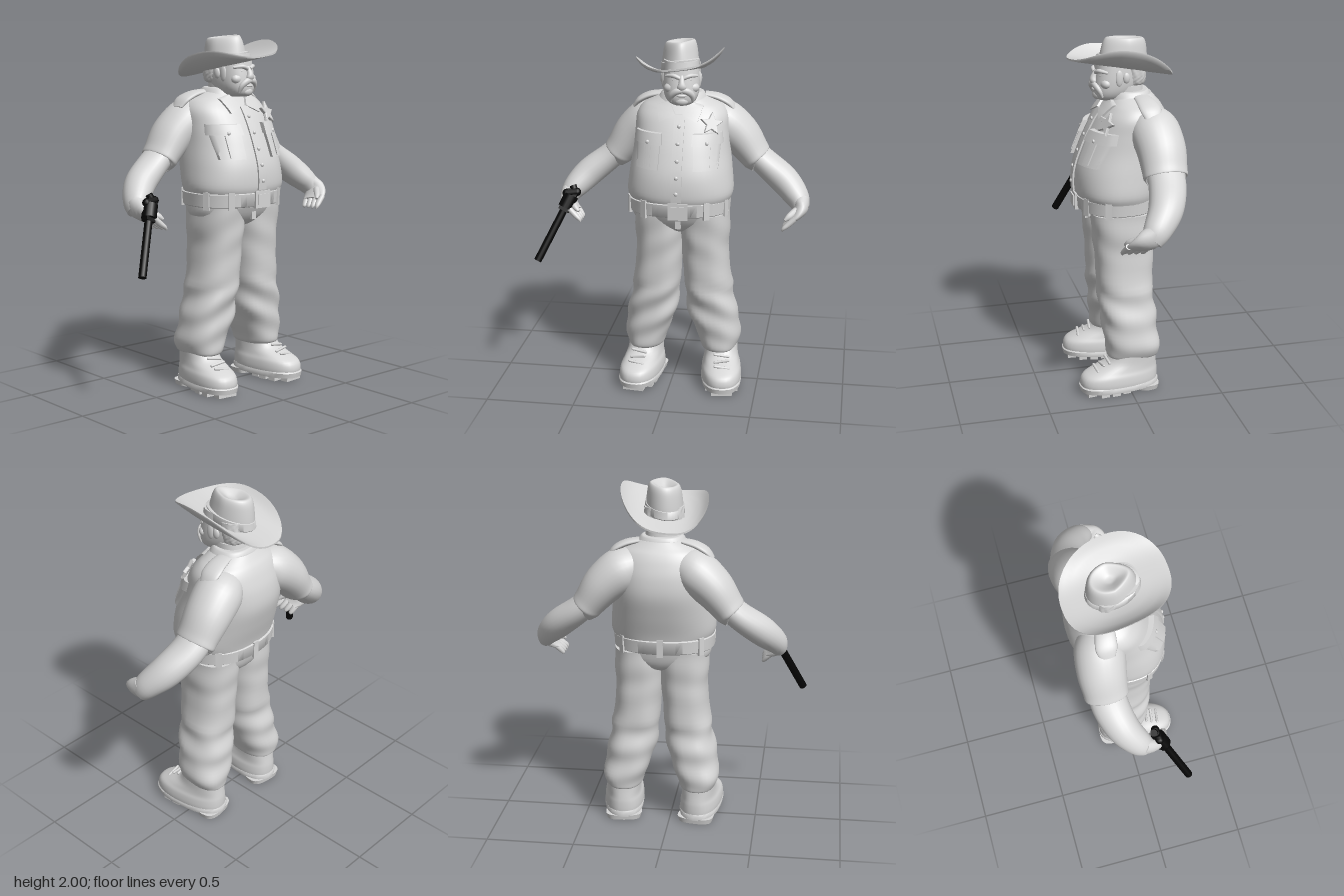
import * as THREE from 'three';
import { toCreasedNormals } from 'three/addons/utils/BufferGeometryUtils.js';

const CX = 0.045; // body centre line
const V = (x, y, z) => new THREE.Vector3(x, y, z);

// Smoothly fills in rows between the given ones
function dense(rows, k) {
  const out = [], n = rows.length, at = i => rows[Math.min(n - 1, Math.max(0, i))];
  for (let i = 0; i < n - 1; i++) for (let j = 0; j < k; j++) {
    const t = j / k, [a, b, c, d] = [at(i - 1), at(i), at(i + 1), at(i + 2)];
    out.push(b.map((p, q) => p + 0.5 * t * (c[q] - a[q]
      + t * (2 * a[q] - 5 * p + 4 * c[q] - d[q] + t * (3 * (p - c[q]) + d[q] - a[q])))));
  }
  out.push(rows[n - 1]);
  return out;
}

// Closed skin over equal rings of points, with end caps
function skin(rings, crease) {
  const m = rings[0].length, pts = rings.flat(), idx = [];
  for (let i = 0; i < rings.length - 1; i++) for (let j = 0; j < m; j++) {
    const a = i * m + j, b = i * m + (j + 1) % m;
    idx.push(a, b, b + m, a, b + m, a + m);
  }
  [[rings[0], true], [rings[rings.length - 1], false]].forEach(([ring, flip]) => {
    const s = pts.length, mid = V(0, 0, 0);
    ring.forEach(p => mid.addScaledVector(p, 1 / m));
    pts.push(...ring.map(p => p.clone()), mid);
    for (let j = 0; j < m; j++) {
      const a = s + j, b = s + (j + 1) % m;
      idx.push(...(flip ? [b, a, s + m] : [a, b, s + m]));
    }
  });
  const g = new THREE.BufferGeometry().setFromPoints(pts);
  g.setIndex(idx);
  g.computeVertexNormals();
  return crease ? toCreasedNormals(g, crease) : g;
}

const sgnPow = (v, e) => Math.sign(v) * Math.abs(v) ** e;

// Upright form; rows are [y, zFront, zBack, halfWidth, centreX]
function loft(rows, { k = 4, n = 2.3, s = 1, seg = 36, crease = 0, bump = () => 0 } = {}) {
  return skin(dense(rows, k).map(([y, zf, zb, rx, cx = 0]) => Array.from({ length: seg }, (_, j) => {
    const a = j / seg * Math.PI * 2, f = 1 + bump(a * s, y);
    return V(s * cx + f * rx * sgnPow(Math.sin(a), 2 / n), y,
      (zf + zb) / 2 + f * (zf - zb) / 2 * sgnPow(Math.cos(a), 2 / n));
  })), crease);
}

// Form along a path; rows are [x, y, z, radius towards z, radius across]
function limb(rows, s = 1, k = 4, seg = 18) {
  const d = dense(rows, k).map(r => [r[0] * s, ...r.slice(1)]);
  return skin(d.map((r, i) => {
    const p = d[Math.max(0, i - 1)], q = d[Math.min(d.length - 1, i + 1)];
    const T = V(q[0] - p[0], q[1] - p[1], q[2] - p[2]).normalize();
    const U = V(0, 0, 1).addScaledVector(T, -T.z).normalize(), W = T.clone().cross(U);
    return Array.from({ length: seg }, (_, j) => {
      const a = j / seg * Math.PI * 2;
      return V(r[0], r[1], r[2]).addScaledVector(U, r[3] * Math.cos(a)).addScaledVector(W, r[4] * Math.sin(a));
    });
  }));
}

const TORSO = [[1.05, .23, -.19, .27], [1.11, .245, -.205, .28], [1.17, .262, -.22, .298], [1.28, .255, -.255, .288],
  [1.40, .215, -.285, .272], [1.50, .17, -.28, .265], [1.58, .125, -.255, .258], [1.63, .085, -.23, .228],
  [1.66, .06, -.205, .18], [1.69, .04, -.18, .12]];
const torsoRows = dense(TORSO, 8);

// Depth of the shirt front at a point
function frontZ(x, y) {
  const i = Math.max(1, torsoRows.findIndex(r => r[0] >= y)), a = torsoRows[i - 1], b = torsoRows[i];
  const t = (y - a[0]) / (b[0] - a[0]), [zf, zb, rx] = [1, 2, 3].map(q => a[q] + t * (b[q] - a[q]));
  return (zf + zb) / 2 + (zf - zb) / 2 * (1 - Math.min(1, Math.abs(x / rx)) ** 2.3) ** (1 / 2.3);
}

// Cloth panel lying on the shirt front; corners bottom-left, bottom-right, top-right, top-left
function panel(c, off) {
  const N = 10, w = N + 3, pts = [], idx = [];
  const mix = (a, b, t) => a + (b - a) * t;
  for (let i = 0; i < w; i++) for (let j = 0; j < w; j++) {
    const u = Math.min(1, Math.max(0, (j - 1) / N)), v = Math.min(1, Math.max(0, (i - 1) / N));
    const [x, y] = [0, 1].map(q => mix(mix(c[0][q], c[1][q], u), mix(c[3][q], c[2][q], u), v));
    const edge = i === 0 || j === 0 || i === w - 1 || j === w - 1;
    pts.push(V(x, y, frontZ(x, y) + (edge ? -0.006 : off)));
    if (i && j) { const a = (i - 1) * w + j - 1; idx.push(a, a + 1, a + w + 1, a, a + w + 1, a + w); }
  }
  const g = new THREE.BufferGeometry().setFromPoints(pts);
  g.setIndex(idx);
  return toCreasedNormals(g, 0.8);
}

export function createModel() {
  const model = new THREE.Group();
  const grey = new THREE.MeshStandardMaterial({ color: 0xd6d6d6 });
  grey.name = 'clay grey';
  const black = new THREE.MeshStandardMaterial({ color: 0x060606 });
  black.name = 'gun black';
  const group = (name, x = 0, y = 0, z = 0, parent = model) => {
    const g = new THREE.Group(); g.name = name; g.position.set(x, y, z); parent.add(g); return g;
  };
  const add = (parent, name, geo, x = 0, y = 0, z = 0, mat = grey) => {
    const m = new THREE.Mesh(geo, mat); m.name = name; m.position.set(x, y, z); parent.add(m); return m;
  };
  const box = (w, h, d) => new THREE.BoxGeometry(w, h, d);
  const ball = (rx, ry, rz) => new THREE.SphereGeometry(1, 18, 12).scale(rx, ry, rz);
  const rect = (x0, x1, y0, y1) => [[x0, y0], [x1, y0], [x1, y1], [x0, y1]];

  // Shirt
  const body = group('body', CX);
  add(body, 'shirt', loft(TORSO, { k: 5, seg: 48 }));
  add(body, 'placket', panel(rect(-.022, .036, 1.15, 1.61), .01));
  for (let i = 0; i < 5; i++) {
    const y = 1.2 + i * .088;
    add(body, 'button', ball(.011, .011, .008), .007, y, frontZ(0, y) + .011);
  }
  add(body, 'neck', loft([[1.6, .05, -.15, .1], [1.74, .06, -.13, .092]], { k: 1 }));
  add(body, 'collarBand', loft([[1.63, .07, -.19, .165], [1.67, .06, -.18, .14], [1.705, .045, -.165, .118], [1.71, .035, -.155, .105]], { k: 2 }));
  for (const s of [1, -1]) {
    const ord = c => s > 0 ? c : [c[1], c[0], c[3], c[2]].map(([x, y]) => [-x, y]);
    add(body, 'collarFlap', panel(ord([[.02, 1.61], [.105, 1.57], [.13, 1.65], [.06, 1.672]]), .016));
    add(body, 'pocket', panel(ord([[.098, 1.325], [.225, 1.325], [.235, 1.49], [.09, 1.49]]), .02));
    add(body, 'pocketPleat', panel(ord(rect(.145, .183, 1.335, 1.46)), .027));
    add(body, 'pocketFlap', panel(ord([[.082, 1.455], [.244, 1.455], [.238, 1.515], [.086, 1.515]]), .03));
    add(body, 'pocketButton', ball(.011, .011, .008), s * .164, 1.467, frontZ(.164, 1.467) + .03);
    add(body, 'epaulette', limb([[.12, 1.685, -.1, .045, .014], [.19, 1.67, -.11, .055, .018], [.25, 1.64, -.12, .058, .018], [.285, 1.6, -.12, .04, .012]], s));
  }
  // Five-pointed badge
  const star = new THREE.Shape(Array.from({ length: 10 }, (_, i) => {
    const r = i % 2 ? .027 : .062, a = i * Math.PI / 5 + Math.PI / 2;
    return new THREE.Vector2(r * Math.cos(a), r * Math.sin(a));
  }));
  const badge = add(body, 'starBadge', new THREE.ExtrudeGeometry(star,
    { depth: .012, bevelEnabled: true, bevelSize: .004, bevelThickness: .004, bevelSegments: 1 }), .18, 1.56, frontZ(.18, 1.56) + .01);
  badge.rotation.set(-.45, .35, 0);

  // Belt
  const belt = group('belt', CX - .005);
  add(belt, 'strap', loft([[1.055, .248, -.208, .28], [1.06, .254, -.214, .286], [1.13, .26, -.22, .29], [1.135, .25, -.21, .28]], { k: 1, seg: 48, crease: .8 }));
  add(belt, 'buckle', box(.11, .095, .02), .02, 1.095, .255);
  add(belt, 'bucklePlate', box(.075, .06, .01), .02, 1.095, .267);
  for (const a of [.6, -.6, 1.2, -1.2, 2.3, -2.3, Math.PI]) {
    const p = Math.sin(a), q = Math.cos(a);
    const loop = add(belt, 'beltLoop', box(.035, .1, .016),
      .286 * sgnPow(p, .87), 1.093, .02 + .235 * sgnPow(q, .87));
    loop.rotation.y = a;
  }

  // Trousers with folds
  const trousers = group('trousers', CX);
  add(trousers, 'seat', loft([[.925, .09, -.1, .06], [.95, .145, -.145, .15], [1.0, .188, -.172, .262], [1.08, .225, -.19, .272]], { seg: 40 }));
  add(trousers, 'fly', box(.03, .08, .016), .008, 1.015, .19);
  const folds = (a, y) => {
    const w = y < .62 ? .035 : .012;
    return w * Math.sin(y * 38 + 2 * Math.sin(a) + a) + w * .6 * Math.cos(3 * a + y * 22);
  };
  const legRows = [[.2, .1, -.17, .09, .212], [.215, .118, -.178, .108, .215], [.28, .128, -.18, .122, .213], [.4, .143, -.17, .14, .182], [.5, .15, -.16, .138, .165],
    [.6, .16, -.155, .135, .15], [.8, .17, -.16, .132, .132], [.92, .182, -.168, .138, .13], [1.05, .195, -.175, .138, .13]];
  for (const s of [1, -1]) {
    add(trousers, 'trouserLeg', loft(legRows, { k: 6, s, n: 2.4, bump: folds }), .01);

    // Boot, toes turned slightly out
    const boot = group('boot', CX + .013 + s * .226, 0, 0);
    boot.rotation.y = s * .12;
    add(boot, 'bootUpper', loft([[.035, .28, -.165, .112], [.07, .287, -.168, .116], [.11, .272, -.168, .112], [.14, .215, -.165, .102], [.18, .125, -.16, .096], [.24, .08, -.155, .095]], { k: 4, n: 2.4 }));
    add(boot, 'sole', loft([[.022, .287, -.172, .113], [.05, .292, -.174, .118], [.058, .284, -.17, .113]], { k: 1, n: 2.5, crease: .8 }));
    add(boot, 'heel', loft([[0, -.035, -.165, .098], [.03, -.035, -.17, .106]], { k: 1, n: 3, crease: .8 }));
    for (let i = 0; i < 4; i++) add(boot, 'soleLug', box([.18, .2, .19, .12][i], .03, .048), 0, .015, .04 + i * .066);
    for (let i = 0; i < 4; i++) {
      const lace = add(boot, 'lace', new THREE.CapsuleGeometry(.008, .08, 3, 8).rotateZ(Math.PI / 2), 0, .148 + i * .022, .197 - i * .034);
      lace.rotation.z = i % 2 ? .15 : -.15;
    }

    // Arm with short sleeve
    const arm = group('arm', CX + .01);
    add(arm, 'sleeve', limb([[.12, 1.56, -.13, .1, .09], [.2, 1.525, -.145, .136, .125], [.3, 1.445, -.16, .135, .116],
      [.375, 1.35, -.16, .124, .095], [.4, 1.315, -.16, .121, .088], [.405, 1.31, -.16, .105, .074]], s, 5, 28));
    add(arm, 'forearm', limb([[.34, 1.38, -.16, .1, .07], [.45, 1.285, -.155, .102, .076], [.565, 1.195, -.115, .094, .082],
      [.643, 1.115, -.05, .077, .068], [.668, 1.065, -.01, .06, .047]], s, 5, 24));
    add(arm, 'palm', limb([[.667, 1.11, -.03, .05, .045], [.667, 1.07, .01, .066, .042], [.64, 1.035, .04, .073, .028], [.61, 1.015, .052, .066, .014]], s));
    for (let i = 0; i < 4; i++) {
      const z = -.006 + i * .036;
      add(arm, 'finger', limb([[.64, 1.035, z, .019, .017], [.605, 1.002, z + .008, .019, .016], [.58, .972 + i * .003, z + .018, .014, .011], [.573, .965, z + .02, .004, .004]], s, 3, 10));
    }
    add(arm, 'thumb', limb([[.645, 1.07, .05, .02, .02], [.61, 1.045, .092, .019, .019], [.585, 1.025, .11, .008, .008]], s, 3, 10));
  }

  // Head
  const head = group('head', CX - .002);
  head.rotation.y = .16;
  add(head, 'skull', loft([[1.66, .115, -.02, .045], [1.675, .138, -.06, .074], [1.71, .147, -.09, .094], [1.76, .144, -.12, .103], [1.82, .134, -.13, .103], [1.9, .12, -.13, .096]], { n: 2.5 }));
  add(head, 'nose', limb([[0, 1.825, .125, .014, .014], [0, 1.79, .142, .02, .018], [0, 1.768, .148, .02, .026], [0, 1.757, .14, .012, .02]]));
  add(head, 'chin', ball(.04, .026, .024), 0, 1.688, .126);
  add(head, 'lip', ball(.028, .008, .01), 0, 1.72, .144);
  for (const s of [1, -1]) {
    add(head, 'cheek', ball(.042, .03, .03), s * .055, 1.758, .1);
    add(head, 'eye', ball(.014, .006, .006), s * .04, 1.803, .125);
    add(head, 'brow', limb([[.01, 1.815, .136, .012, .011], [.045, 1.828, .128, .014, .012], [.085, 1.822, .095, .008, .007]], s));
    add(head, 'moustache', limb([[0, 1.75, .15, .013, .014], [.03, 1.745, .148, .015, .018], [.056, 1.72, .134, .014, .016], [.06, 1.685, .12, .007, .01]], s));
    add(head, 'ear', ball(.012, .03, .02), s * .104, 1.79, -.005);
    add(head, 'sideburn', ball(.01, .045, .022), s * .1, 1.79, .035);
  }
  // Wavy hair round the back of the head
  add(head, 'hair', loft([[1.735, -.03, -.125, .08], [1.75, -.01, -.142, .1], [1.8, 0, -.148, .11], [1.87, .02, -.145, .108]],
    { k: 6, seg: 64, bump: (a, y) => .03 * Math.sin(a * 14 + 3 * Math.sin(y * 90)) * Math.cos(y * 120) }));

  // Hat: curled brim tilted back, creased crown
  const hat = group('hat', CX - .008);
  hat.rotation.y = .1;
  const brimProfile = [[.38, -.006], [.6, -.006], [.8, -.006], [.92, -.006], [1, -.005], [1, .005], [.92, .006], [.8, .006], [.6, .006], [.38, .006]];
  add(hat, 'brim', skin(brimProfile.map(([t, dy]) => Array.from({ length: 56 }, (_, j) => {
    const a = j / 56 * Math.PI * 2, x = .242 * t * sgnPow(Math.sin(a), .85), z = -.01 + .288 * t * sgnPow(Math.cos(a), .88);
    return V(x, 1.832 + dy + .21 * z + .12 * x + .1 * t ** 4 * Math.abs(Math.sin(a)) ** 2.5, z);
  })), 1.2));
  const crownRows = [[1.83, 1], [1.87, .98], [1.92, .93], [1.96, .87], [1.985, .78], [1.99, .66], [1.975, .42], [1.96, .2], [1.957, .03]];
  add(hat, 'crown', skin(dense(crownRows, 3).map(([y, f]) => Array.from({ length: 36 }, (_, j) => {
    const a = j / 36 * Math.PI * 2, up = Math.max(0, (y - 1.83) / .16), c = Math.cos(a);
    const x = .105 * f * Math.sin(a) * (1 - .35 * up * Math.max(0, c)), z = -.025 - .012 * up + .14 * f * c;
    return V(x, y + .1 * x + .06 * z + .004, z);
  }))));
  add(hat, 'hatBand', skin([[1.84, 1.02], [1.845, 1.05], [1.885, 1.02], [1.89, .96]].map(([y, f]) => Array.from({ length: 36 }, (_, j) => {
    const a = j / 36 * Math.PI * 2, x = .105 * f * Math.sin(a), z = -.025 + .14 * f * Math.cos(a);
    return V(x, y + .12 * x + .18 * z, z);
  })), .8));

  // Revolver pointing down and outwards
  const gun = group('revolver', -.57, 1.125, .055);
  gun.quaternion.setFromUnitVectors(V(0, -1, 0), V(-.18, -.37, .155).normalize());
  const rod = (r, h) => new THREE.CylinderGeometry(r, r, h, 16);
  add(gun, 'barrel', rod(.022, .34), 0, -.275, 0, black);
  add(gun, 'frame', box(.06, .13, .045), 0, -.06, 0, black);
  add(gun, 'drum', rod(.042, .08), 0, -.065, 0, black);
  add(gun, 'hammer', rod(.02, .05).rotateZ(.8), 0, .012, 0, black);
  const grip = add(gun, 'grip', new THREE.CapsuleGeometry(.024, .06, 4, 12), -.005, -.01, .005, black);
  grip.rotation.z = -1.0;
  return model;
}
